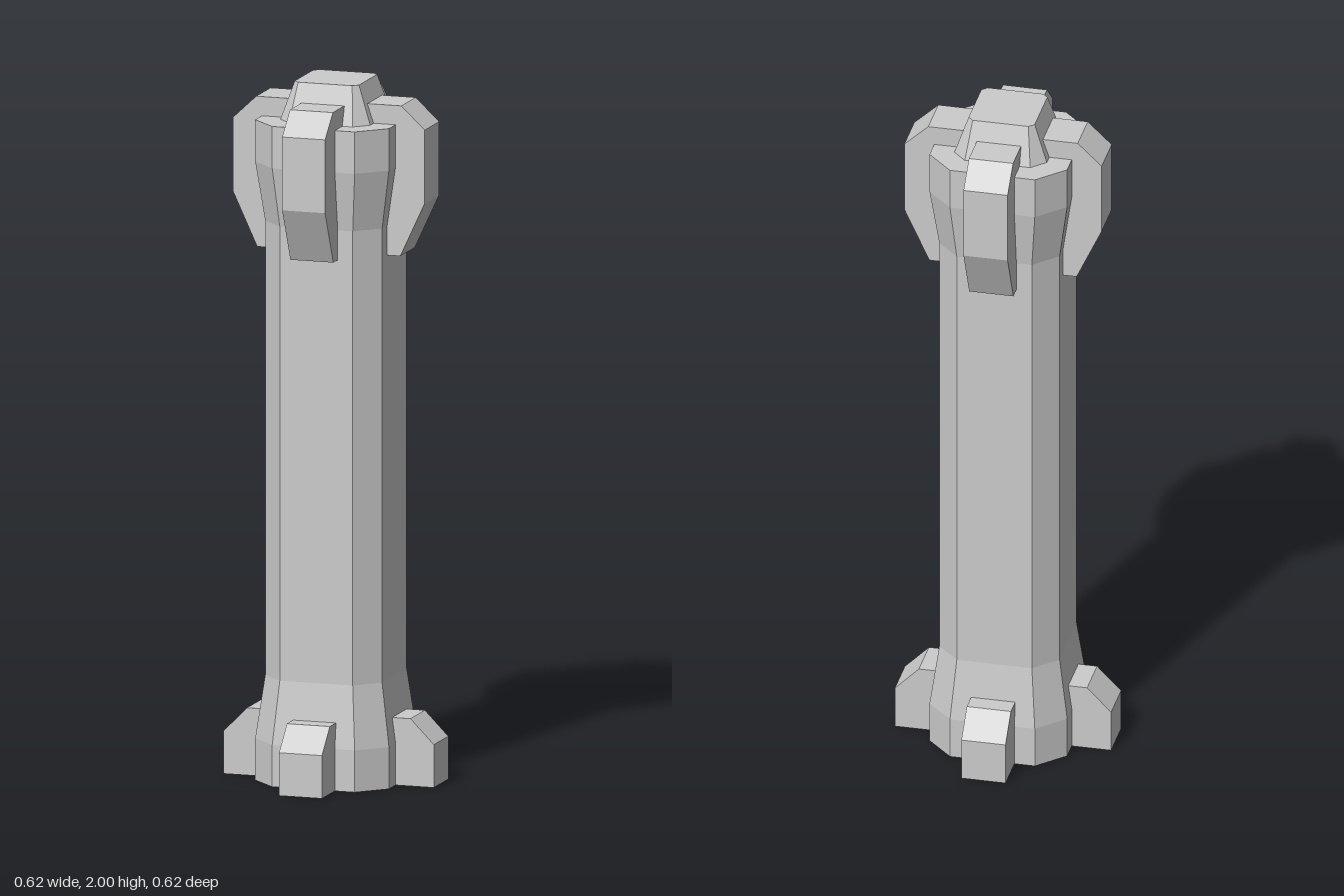
import * as THREE from 'three';

const material = new THREE.MeshStandardMaterial({ color: 0xcccccc, flatShading: true });

// Lofts chamfered-square sections [y, half width, half flat side] and caps both ends
function loft(name, sections) {
  const rings = sections.map(([y, a, b]) =>
    [[a, b], [a, -b], [b, -a], [-b, -a], [-a, -b], [-a, b], [-b, a], [b, a]]
      .map(([x, z]) => [x, y, z]));
  const pos = [];
  const tri = (...corners) => corners.forEach((c) => pos.push(...c));
  for (let r = 0; r < rings.length - 1; r++) {
    for (let i = 0; i < 8; i++) {
      const j = (i + 1) % 8;
      const lo = rings[r], hi = rings[r + 1];
      tri(lo[i], lo[j], hi[j]);
      tri(lo[i], hi[j], hi[i]);
    }
  }
  const bottom = rings[0], top = rings[rings.length - 1];
  for (let i = 1; i < 7; i++) {
    tri(bottom[0], bottom[i + 1], bottom[i]);
    tri(top[0], top[i], top[i + 1]);
  }
  const geometry = new THREE.BufferGeometry();
  geometry.setAttribute('position', new THREE.Float32BufferAttribute(pos, 3));
  geometry.computeVertexNormals();
  const mesh = new THREE.Mesh(geometry, material);
  mesh.name = name;
  return mesh;
}

// Four copies of a radial profile (distance from axis, height), one per side
function fourSides(name, profile, width) {
  const group = new THREE.Group();
  group.name = name + 's';
  const shape = new THREE.Shape(profile.map(([x, y]) => new THREE.Vector2(x, y)));
  const geometry = new THREE.ExtrudeGeometry(shape, { depth: width, bevelEnabled: false });
  geometry.translate(0, 0, -width / 2);
  for (let i = 0; i < 4; i++) {
    const mesh = new THREE.Mesh(geometry, material);
    mesh.name = name;
    mesh.rotation.y = (i * Math.PI) / 2;
    group.add(mesh);
  }
  return group;
}

export function createModel() {
  const model = new THREE.Group();
  model.name = 'pillar';

  // Shaft flaring out at the base and the head
  model.add(loft('shaft', [
    [0, 0.198, 0.122], [0.12, 0.198, 0.122], [0.3, 0.173, 0.108],
    [1.6, 0.173, 0.108], [1.77, 0.198, 0.122], [1.89, 0.198, 0.122],
  ]));

  // Tapered cap on top
  model.add(loft('cap', [[1.89, 0.133, 0.094], [2, 0.095, 0.08]]));

  // Brackets around the head
  model.add(fourSides('bracket', [
    [0.115, 1.515], [0.212, 1.515], [0.284, 1.67],
    [0.284, 1.88], [0.215, 1.945], [0.115, 1.945],
  ], 0.127));

  // Feet around the base
  model.add(fourSides('foot', [
    [0.16, 0], [0.311, 0], [0.311, 0.123], [0.242, 0.193], [0.16, 0.193],
  ], 0.127));

  return model;
}
